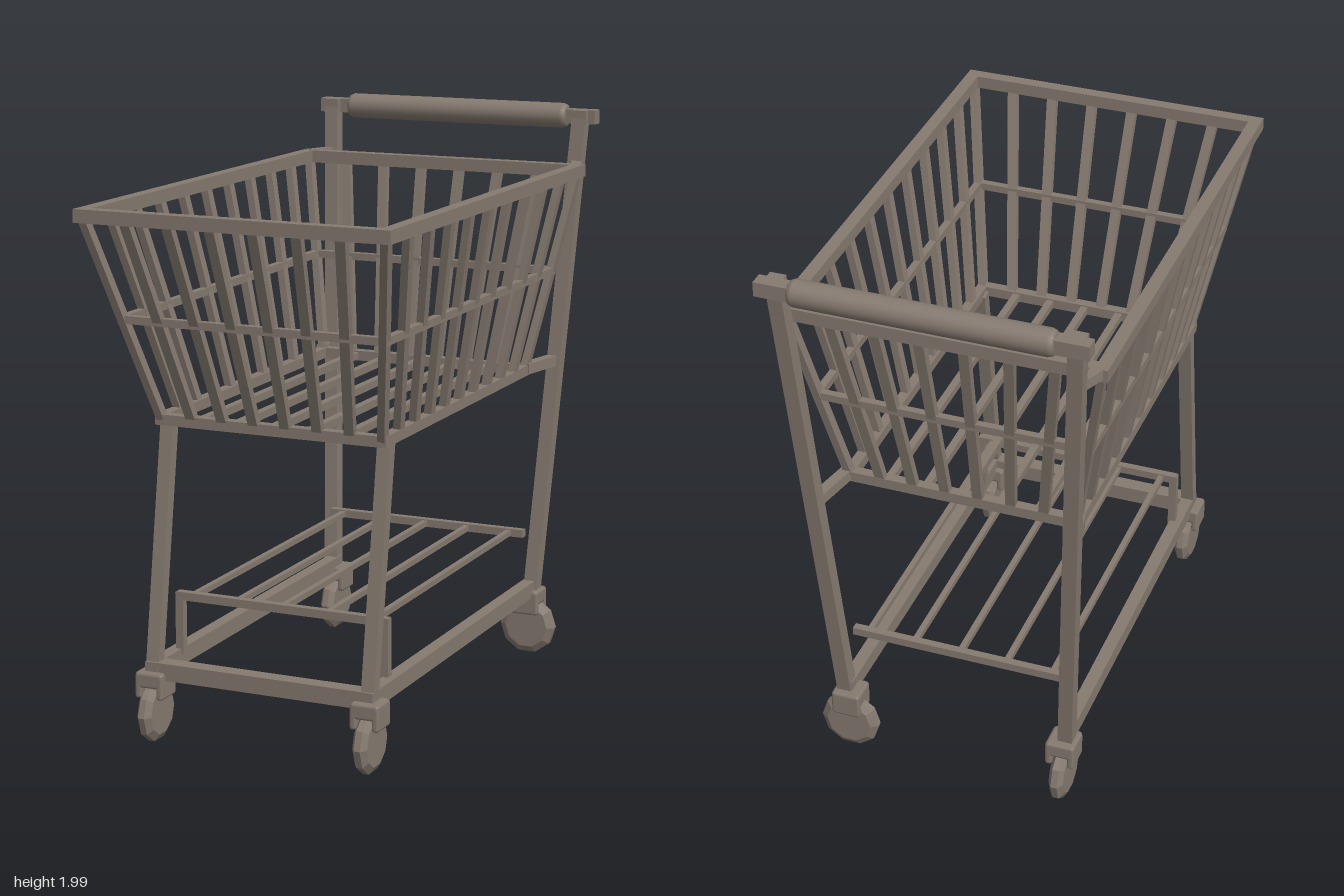
import * as THREE from 'three';
import { RoundedBoxGeometry } from 'three/addons/geometries/RoundedBoxGeometry.js';

export function createModel() {
  const cart = new THREE.Group();
  cart.name = 'shoppingCart';
  const metal = new THREE.MeshStandardMaterial({ color: 0x857a70 });
  metal.name = 'warmGrey';

  const group = (name, parent = cart) => {
    const g = new THREE.Group();
    g.name = name;
    parent.add(g);
    return g;
  };
  const add = (parent, name, geometry, x = 0, y = 0, z = 0) => {
    const m = new THREE.Mesh(geometry, metal);
    m.name = name;
    m.position.set(x, y, z);
    parent.add(m);
    return m;
  };
  // Square bar from a to b; side is the rough direction of its width
  const bar = (parent, name, a, b, w, h = w, side = [1, 0, 0]) => {
    const p = new THREE.Vector3(...a), q = new THREE.Vector3(...b);
    const along = q.clone().sub(p);
    const length = along.length();
    along.normalize();
    const depth = new THREE.Vector3(...side).cross(along).normalize();
    const width = along.clone().cross(depth);
    const m = add(parent, name, new THREE.BoxGeometry(w, length, h));
    m.quaternion.setFromRotationMatrix(new THREE.Matrix4().makeBasis(width, along, depth));
    m.position.copy(p).add(q).multiplyScalar(0.5);
  };
  const lerp = THREE.MathUtils.lerp;
  const UP = [0, 1, 0], FRONT = [0, 0, 1];

  // Basket: point at u across, v from back to front, t from floor to rim
  const at = (u, v, t) => [
    u * lerp(0.395, 0.525, t),
    lerp(1.08, 1.78, t),
    lerp(lerp(-0.59, -0.75, t), lerp(0.655, 0.925, t), v),
  ];
  const basket = group('basket');
  for (const [name, t, s] of [['bottomRim', 0, 0.036], ['middleWire', 0.5, 0.026], ['topRim', 1, 0.044]]) {
    const e = s / 2;
    for (const v of [0, 1]) {
      const a = at(-1, v, t), b = at(1, v, t);
      a[0] -= e; b[0] += e;
      bar(basket, name, a, b, s, s, UP);
    }
    for (const u of [-1, 1]) bar(basket, name, at(u, 0, t), at(u, 1, t), s, s, UP);
  }
  for (let i = 1; i < 7; i++) {
    const u = -1 + (2 * i) / 7;
    for (const v of [0, 1]) bar(basket, 'endSlat', at(u, v, 0), at(u, v, 1), 0.034, 0.026);
  }
  for (let i = 0; i <= 10; i++) {
    for (const u of [-1, 1]) bar(basket, 'sideSlat', at(u, i / 10, 0), at(u, i / 10, 1), 0.034, 0.026, FRONT);
  }
  for (let i = -2; i <= 2; i++) {
    bar(basket, 'floorSlat', [i * 0.13, 1.08, -0.59], [i * 0.13, 1.08, 0.655], 0.026);
  }

  // Frame: legs, lower rails and basket brackets
  const frame = group('frame');
  for (const s of [-1, 1]) {
    bar(frame, 'frontLeg', [s * 0.39, 0.25, 0.745], [s * 0.39, 1.08, 0.615], 0.046, 0.04);
    bar(frame, 'rearLeg', [s * 0.4, 0.23, -0.683], [s * 0.487, 1.95, -0.879], 0.05);
    bar(frame, 'lowerRail', [s * 0.39, 0.25, 0.77], [s * 0.395, 0.25, -0.7], 0.045, 0.058);
    bar(frame, 'upperBracket', [s * 0.525, 1.785, -0.74], [s * 0.477, 1.785, -0.86], 0.036, 0.036, UP);
    bar(frame, 'lowerBracket', [s * 0.4, 1.085, -0.58], [s * 0.44, 1.085, -0.78], 0.038, 0.038, UP);
  }
  bar(frame, 'frontRail', [-0.39, 0.25, 0.74], [0.39, 0.25, 0.74], 0.058, 0.058, UP);

  // Lower shelf
  const shelf = group('shelf');
  for (const z of [0.583, -0.635]) bar(shelf, 'shelfCrossbar', [-0.385, 0.463, z], [0.385, 0.463, z], 0.028, 0.028, UP);
  for (const s of [-1, 1]) bar(shelf, 'shelfPost', [s * 0.375, 0.26, 0.583], [s * 0.375, 0.475, 0.583], 0.028);
  for (let i = -2; i <= 2; i++) {
    bar(shelf, 'shelfSlat', [i * 0.165, 0.463, 0.583], [i * 0.165, 0.463, -0.635], 0.02);
  }

  // Push handle with a rounded grip
  const handle = group('handle');
  bar(handle, 'handleBar', [-0.54, 1.955, -0.905], [0.54, 1.955, -0.905], 0.05, 0.05, UP);
  for (const s of [-1, 1]) add(handle, 'handleJoint', new THREE.BoxGeometry(0.055, 0.05, 0.06), s * 0.487, 1.955, -0.885);
  const gripProfile = [
    [0, -0.43], [0.03, -0.43], [0.04, -0.424], [0.045, -0.41],
    [0.045, 0.41], [0.04, 0.424], [0.03, 0.43], [0, 0.43],
  ].map(([x, y]) => new THREE.Vector2(x, y));
  add(handle, 'grip', new THREE.LatheGeometry(gripProfile, 20), 0, 1.955, -0.905).rotation.z = Math.PI / 2;

  // Casters: forked housing and a faceted wheel
  const wheelProfile = [
    [0, -0.026], [0.08, -0.026], [0.104, -0.011], [0.104, 0.011], [0.08, 0.026], [0, 0.026],
  ].map(([x, y]) => new THREE.Vector2(x, y));
  const wheelGeometry = new THREE.LatheGeometry(wheelProfile, 10).toNonIndexed();
  wheelGeometry.computeVertexNormals();
  const capGeometry = new RoundedBoxGeometry(0.104, 0.056, 0.104, 1, 0.012);
  const cheekGeometry = new RoundedBoxGeometry(0.025, 0.085, 0.104, 1, 0.01);
  for (const [x, z, turn] of [[-0.39, 0.742, 0], [0.39, 0.742, 0], [-0.39, -0.685, 0], [0.388, -0.685, Math.PI / 2]]) {
    const caster = group('caster');
    caster.position.set(x, 0, z);
    caster.rotation.y = turn;
    add(caster, 'casterCap', capGeometry, 0, 0.219, 0);
    for (const s of [-1, 1]) add(caster, 'casterFork', cheekGeometry, s * 0.039, 0.198, 0);
    add(caster, 'wheel', wheelGeometry, 0, 0.106, 0).rotation.z = Math.PI / 2;
  }
  return cart;
}
